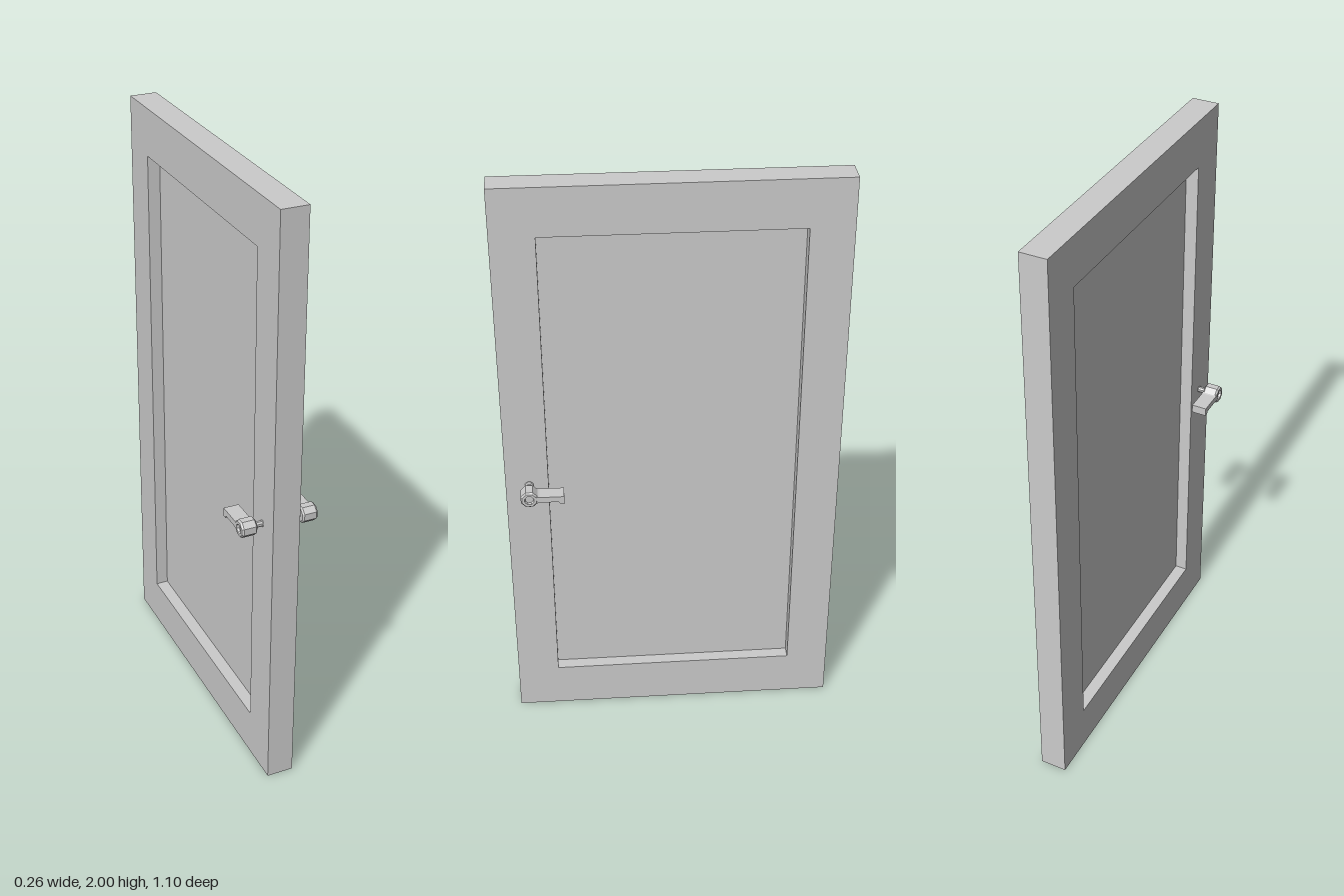
import * as THREE from 'three';

const GREY = new THREE.MeshStandardMaterial({ color: 0xcccccc, flatShading: true });
const HANDLE_Y = 0.954, HANDLE_Z = 0.473;

function part(name, geometry) {
  const mesh = new THREE.Mesh(geometry, GREY);
  mesh.name = name;
  return mesh;
}

// Extrude a side-on outline (u = -z, v = y) along x, starting at x0
function extrudeX(shape, x0, width) {
  return new THREE.ExtrudeGeometry(shape, { depth: width, bevelEnabled: false })
    .rotateY(Math.PI / 2).translate(x0, 0, 0);
}

// Turn a [radius, distance] profile about x, pointing outwards on the given side
function turnX(profile, sides, side) {
  const points = profile.map(([r, d]) => new THREE.Vector2(r, d));
  return new THREE.LatheGeometry(points, sides, Math.PI / sides)
    .rotateZ(-side * Math.PI / 2).translate(0, HANDLE_Y, HANDLE_Z);
}

function polygon(points) {
  return points.map(([u, v]) => new THREE.Vector2(u, v));
}

function createHandle(side) {
  const handle = new THREE.Group();
  handle.name = side > 0 ? 'leftHandle' : 'rightHandle';

  // Collar at the door face and the spindle through it
  handle.add(part('collar', turnX([[0, 0.03], [0.015, 0.03], [0.015, 0.047], [0.011, 0.051], [0, 0.051]], 8, side)));
  handle.add(part('spindle', turnX([[0, 0.03], [0.01, 0.03], [0.01, 0.08], [0, 0.08]], 8, side)));

  // Chamfered octagonal hub with a dished outer face
  handle.add(part('hub', turnX([
    [0, 0.077], [0.024, 0.077], [0.03, 0.082], [0.03, 0.123], [0.025, 0.129],
    [0.016, 0.129], [0.014, 0.121], [0, 0.121],
  ], 8, side)));

  // Flat lever with a small downturned tip
  const lever = new THREE.Shape(polygon([
    [-0.455, 0.968], [-0.44, 0.964], [-0.36, 0.964], [-0.36, 0.935],
    [-0.373, 0.935], [-0.378, 0.944], [-0.44, 0.944], [-0.455, 0.94],
  ]));
  handle.add(part('lever', extrudeX(lever, side > 0 ? 0.077 : -0.128, 0.051)));
  return handle;
}

export function createModel() {
  const door = new THREE.Group();
  door.name = 'door';

  // Frame with a rectangular opening
  const frame = new THREE.Shape(polygon([[-0.55, 0], [0.55, 0], [0.55, 2], [-0.55, 2]]));
  frame.holes.push(new THREE.Path(polygon([[-0.41, 0.16], [-0.41, 1.84], [0.41, 1.84], [0.41, 0.16]])));
  door.add(part('frame', extrudeX(frame, -0.05, 0.09)));

  // Thin panel recessed on both faces
  door.add(part('panel', new THREE.BoxGeometry(0.006, 1.68, 0.82).translate(-0.005, 1, 0)));

  // Handles on both faces
  for (const side of [1, -1]) door.add(createHandle(side));
  return door;
}
